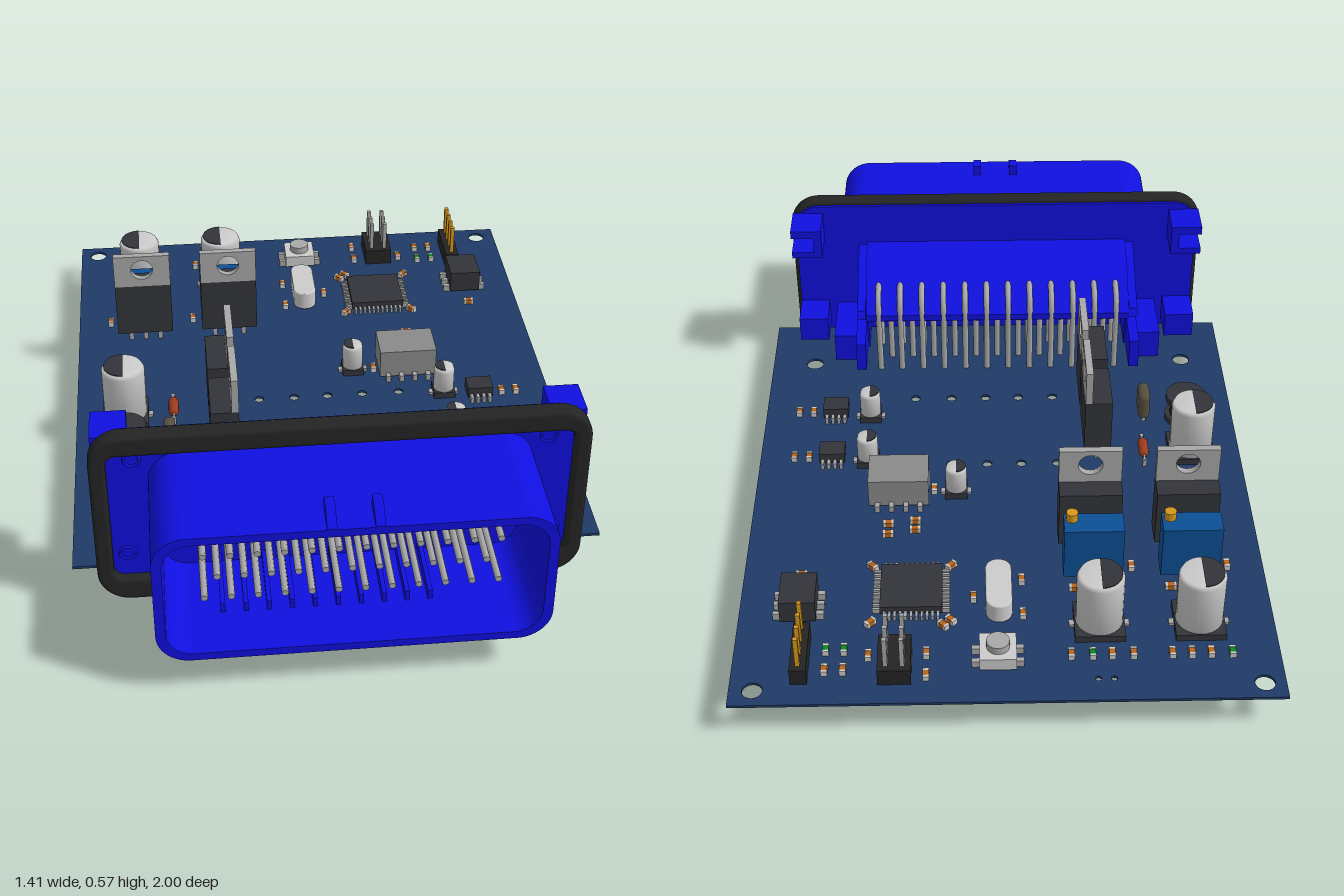
import * as THREE from 'three';
import { RoundedBoxGeometry } from 'three/addons/geometries/RoundedBoxGeometry.js';

const BLUE = 0x1010e0, BLACK = 0x242424, DARK = 0x33343a, GREY = 0xa8a8a8, LIGHT = 0xc4c4c4,
  GOLD = 0xd8981c, ORANGE = 0xb8651c, TRIM = 0x0c4f94, BOARD = 0x1f3a66, GREEN = 0x0c8a20;
const TOP = 0.108; // upper face of the board
const mats = {};
const mat = (c) => (mats[c] ??= new THREE.MeshStandardMaterial({ color: c }));

export function createModel() {
  const root = new THREE.Group();
  const add = (name, geo, color, x = 0, y = 0, z = 0, parent = root) => {
    const m = new THREE.Mesh(geo, mat(color));
    m.name = name;
    m.position.set(x, y, z);
    parent.add(m);
    return m;
  };
  const box = (name, c, w, h, d, x, y, z, p) => add(name, new THREE.BoxGeometry(w, h, d), c, x, y, z, p);
  // box given by its lower and upper heights
  const block = (name, c, w, d, x, z, y0, y1, p) => box(name, c, w, y1 - y0, d, x, (y0 + y1) / 2, z, p);
  const cyl = (name, c, r, x, z, y0, y1, p, seg = 28) =>
    add(name, new THREE.CylinderGeometry(r, r, y1 - y0, seg), c, x, (y0 + y1) / 2, z, p);
  const circle = (x, y, r) => new THREE.Path().absarc(x, y, r, 0, Math.PI * 2, true);
  const rounded = (x, y0, y1, r, S = THREE.Shape) => {
    const s = new S();
    s.absarc(x - r, y1 - r, r, 0, Math.PI / 2);
    s.absarc(-x + r, y1 - r, r, Math.PI / 2, Math.PI);
    s.absarc(-x + r, y0 + r, r, Math.PI, Math.PI * 1.5);
    s.absarc(x - r, y0 + r, r, Math.PI * 1.5, Math.PI * 2);
    s.closePath();
    return s;
  };
  const extrude = (s, depth, bevel = 0) => new THREE.ExtrudeGeometry(s, {
    depth, curveSegments: 10, bevelEnabled: bevel > 0, bevelSize: bevel, bevelThickness: bevel, bevelSegments: 4,
  });

  // Circuit board with drilled holes
  const plate = new THREE.Shape([[-0.705, -1], [0.705, -1], [0.705, 0.625], [-0.705, 0.625]]
    .map(([x, y]) => new THREE.Vector2(x, y)));
  for (const [x, z] of [[-0.65, -0.95], [0.645, -0.95], [-0.58, 0.425], [0.575, 0.425]]) plate.holes.push(circle(x, z, 0.026));
  for (const x of [-0.165, -0.06, 0.04, 0.145, 0.255])
    for (const z of [-0.075, 0.24]) plate.holes.push(circle(x, z, 0.014));
  for (const x of [-0.27, -0.23]) plate.holes.push(circle(x, -0.927, 0.008));
  add('board', extrude(plate, 0.008).rotateX(Math.PI / 2), BOARD, 0, TOP, 0);

  // Connector flange, seal and shell
  const con = new THREE.Group();
  con.name = 'connector';
  root.add(con);
  add('flange', extrude(rounded(0.625, 0.052, 0.558, 0.075), 0.033), BLUE, 0, 0, 0.632, con);
  const seal = rounded(0.625, 0.052, 0.558, 0.075);
  seal.holes.push(rounded(0.605, 0.097, 0.52, 0.04, THREE.Path));
  add('seal', extrude(seal, 0.026, 0.012), BLACK, 0, 0, 0.653, con);
  const shell = rounded(0.49, 0.11, 0.5, 0.085);
  shell.holes.push(rounded(0.465, 0.132, 0.478, 0.068, THREE.Path));
  add('shell', extrude(shell, 0.34), BLUE, 0, 0, 0.66, con);

  // Keys on top of the shell and ribs inside it
  const key = new THREE.Shape([[-1, 0.49], [-1, 0.503], [-0.955, 0.532], [-0.915, 0.532], [-0.915, 0.49]]
    .map(([x, y]) => new THREE.Vector2(x, y)));
  for (const x of [-0.06, 0.055]) add('key', extrude(key, 0.024).rotateY(Math.PI / 2), BLUE, x - 0.012, 0, 0, con);
  for (let i = 0; i < 10; i++) {
    const x = -0.32 + i * 0.0585, long = i === 4 || i === 9 ? 0.03 : 0;
    box('upperRib', BLUE, 0.012, 0.03 + long, 0.2, x, 0.465 - long / 2, 0.76, con);
    box('lowerRib', BLUE, 0.012, 0.03, 0.2, x, 0.145, 0.76, con);
  }

  // Hood behind the flange with side cheeks, feet and latches
  const side = (pts, w) => extrude(new THREE.Shape(pts.map(([z, y]) => new THREE.Vector2(-z, y))), w)
    .rotateY(Math.PI / 2).translate(-w / 2, 0, 0);
  add('hood', side([[0.64, 0.43], [0.55, 0.41], [0.48, 0.38], [0.395, 0.31], [0.395, 0.29], [0.5, 0.215], [0.64, 0.215]], 0.81), BLUE, 0, 0, 0, con);
  for (const s of [-1, 1]) {
    add('cheek', side([[0.64, 0.42], [0.58, 0.405], [0.46, 0.35], [0.4, 0.325], [0.39, 0.3], [0.515, 0.215], [0.515, 0.11], [0.64, 0.11]], 0.025), BLUE, s * 0.418, 0, 0, con);
    block('foot', BLUE, 0.03, 0.14, s * 0.425, 0.445, 0.12, 0.215, con);
    block('lowerBlock', BLUE, 0.08, 0.19, s * 0.47, 0.54, TOP, 0.2, con);
    block('latchTop', BLUE, 0.09, 0.11, s * 0.585, 0.58, 0.51, 0.535, con);
    block('latchBottom', BLUE, 0.09, 0.11, s * 0.585, 0.58, 0.44, 0.46, con);
    block('latchWall', BLUE, 0.025, 0.11, s * 0.55, 0.58, 0.44, 0.535, con);
    block('lowerLatch', BLUE, 0.09, 0.11, s * 0.58, 0.58, 0.13, 0.21, con);
    cyl('peg', BLUE, 0.016, s * 0.47, 0.5, 0.06, 0.12, con, 14);
    for (const [x, y] of [[0.528, 0.483], [0.555, 0.18]])
      add('flangeBoss', new THREE.TorusGeometry(0.02, 0.004, 6, 24), BLUE, s * x, y, 0.665, con);
  }

  // Three rows of bent contact pins
  for (const [n, y, z] of [[12, 0.37, 0.4], [11, 0.305, 0.465], [12, 0.238, 0.535]]) {
    const v = (a, b) => new THREE.Vector3(0, a, b), path = new THREE.CurvePath();
    path.add(new THREE.LineCurve3(v(y, 0.92), v(y, z + 0.07)));
    path.add(new THREE.QuadraticBezierCurve3(v(y, z + 0.07), v(y, z), v(y - 0.07, z)));
    path.add(new THREE.LineCurve3(v(y - 0.07, z), v(0.055, z)));
    const geo = new THREE.TubeGeometry(path, 36, 0.009, 8);
    for (let i = 0; i < n; i++) {
      const x = (i - (n - 1) / 2) * 0.0665;
      add('contactPin', geo, GREY, x, 0, 0, con);
      for (const [b, end, turn] of [[y, 0.92, 0], [0.055, z, Math.PI / 2]])
        add('pinTip', new THREE.CircleGeometry(0.009, 8), GREY, x, b, end, con).rotation.x = turn;
    }
  }

  const leads = (xs, z, y0, y1 = TOP) => xs.forEach((x) => block('lead', GREY, 0.012, 0.01, x, z, y0, y1));

  // Large capacitors with a dark half mark on top
  const capacitor = (x, z, r, h) => {
    block('capacitorBase', DARK, r * 2, r * 2, x, z, TOP, TOP + 0.02);
    const p = [[0, 0], [r * 0.95, 0], [r * 0.95, h - 0.012], [r * 0.85, h], [0, h]].map(([a, b]) => new THREE.Vector2(a, b));
    add('capacitor', new THREE.LatheGeometry(p, 32), LIGHT, x, TOP + 0.012, z);
    add('capacitorMark', new THREE.CylinderGeometry(r * 0.84, r * 0.84, 0.003, 20, 1, false, Math.PI, Math.PI), DARK, x, TOP + 0.013 + h, z);
    for (const s of [-1, 1]) block('capacitorPad', GREY, 0.02, 0.02, x + s * r * 1.05, z, TOP, TOP + 0.008);
  };
  for (const [x, z] of [[-0.505, -0.735], [-0.243, -0.735], [-0.56, -0.027]]) capacitor(x, z, 0.066, 0.17);
  for (const [x, z] of [[0.13, -0.2], [0.388, -0.058], [0.388, 0.153]]) capacitor(x, z, 0.032, 0.085);
  cyl('choke', DARK, 0.06, -0.56, 0.132, TOP, 0.125);
  cyl('chokeCore', BLACK, 0.045, -0.56, 0.132, 0.12, 0.18);
  cyl('chokeTop', DARK, 0.06, -0.56, 0.132, 0.175, 0.195);
  leads([-0.605, -0.52], 0.14, 0.02);

  // Trimmers and upright power transistors
  const tab = new THREE.Shape([[-0.085, 0.335], [0.085, 0.335], [0.085, 0.44], [-0.085, 0.44]].map(([x, y]) => new THREE.Vector2(x, y)));
  tab.holes.push(circle(0, 0.393, 0.033));
  const transistor = (x, z, turn, drop) => {
    const g = new THREE.Group();
    g.name = 'transistor';
    block('transistorBody', DARK, 0.17, 0.078, 0, 0, 0.165, 0.335, g);
    add('transistorTab', extrude(tab, 0.02), GREY, 0, 0, 0.019, g);
    for (const i of [-1, 0, 1]) block('transistorLeg', GREY, 0.014, 0.008, i * 0.045, 0, 0.05, 0.17, g);
    g.position.set(x, drop, z);
    g.rotation.y = turn;
    root.add(g);
  };
  for (const x of [-0.5, -0.238]) {
    block('trimmer', TRIM, 0.16, 0.073, x, -0.533, 0.122, 0.282);
    cyl('trimmerScrew', GOLD, 0.016, x + 0.058, -0.518, 0.28, 0.307, root, 16);
    leads([x - 0.042, x, x + 0.042], -0.53, 0, 0.13);
    transistor(x + 0.005, -0.435, 0, -0.01);
  }
  for (const z of [-0.005, 0.208]) transistor(-0.28, z, Math.PI / 2, 0);

  // Chips with bent leads on two sides; along = direction of the lead rows
  const chip = (x, z, w, d, h, n, along, color = DARK) => {
    block('chipBody', color, w, d, x, z, TOP + 0.008, TOP + h);
    const len = along === 'z' ? d : w;
    for (const s of [-1, 1]) for (let i = 0; i < n; i++) {
      const t = ((i + 0.5) / n - 0.5) * len * 0.95, out = s * ((along === 'z' ? w : d) / 2 + 0.008), k = Math.min(0.014, len / n / 2);
      const [px, pz, a, b] = along === 'z' ? [x + out, z + t, 0.024, k] : [x + t, z + out, k, 0.024];
      block('chipLead', GREY, a, b, px, pz, TOP, TOP + Math.min(0.02, h * 0.5));
    }
  };
  chip(0.25, -0.61, 0.165, 0.165, 0.03, 11, 'z');
  chip(0.25, -0.61, 0.165, 0.165, 0.03, 11, 'x');
  chip(0.546, -0.66, 0.095, 0.115, 0.075, 3, 'z');
  for (const z of [-0.042, 0.17]) chip(0.493, z, 0.075, 0.06, 0.04, 4, 'x');
  chip(0.293, -0.204, 0.17, 0.12, 0.095, 4, 'x', 0x8a8a8a);

  // Crystal, push button, diode and disc capacitor
  const oval = rounded(0.031, -0.088, 0.088, 0.03);
  add('crystal', extrude(oval, 0.05, 0.004).rotateX(-Math.PI / 2), LIGHT, 0.018, TOP + 0.008, -0.638);
  for (const z of [-0.69, -0.585]) leads([0.018], z, 0.05);
  chip(0.024, -0.853, 0.095, 0.095, 0.045, 2, 'z', LIGHT);
  cyl('buttonCap', GREY, 0.03, 0.024, -0.853, 0.15, 0.175);
  const diode = add('diode', new THREE.CapsuleGeometry(0.015, 0.045, 4, 14), 0x9c3c1c, -0.42, 0.128, -0.035);
  diode.rotation.x = Math.PI / 2;
  box('diodeWire', GREY, 0.006, 0.006, 0.12, -0.42, 0.128, -0.035);
  for (const z of [-0.093, 0.023]) leads([-0.42], z, 0.05, 0.13);
  add('discCapacitor', new RoundedBoxGeometry(0.035, 0.09, 0.08, 3, 0.016), 0x55503f, -0.435, 0.16, 0.148);
  for (const z of [0.12, 0.175]) leads([-0.435], z, 0.05, 0.13);

  // Pin headers
  const header = (x, z, cols, rows, color) => {
    block('headerBase', BLACK, cols * 0.0425, rows * 0.0425, x, z, TOP, 0.158);
    for (let i = 0; i < cols; i++) for (let j = 0; j < rows; j++)
      block('headerPin', color, 0.012, 0.012, x + (i - (cols - 1) / 2) * 0.0425, z + (j - (rows - 1) / 2) * 0.0425, 0.065, 0.25);
  };
  header(0.288, -0.874, 2, 3, GREY);
  header(0.53, -0.847, 1, 4, GOLD);

  // Small surface parts: x, z, turn
  const small = (x, z, turn, color) => {
    const g = new THREE.Group();
    g.name = 'smallPart';
    block('smallBody', color, 0.016, 0.022, 0, 0, TOP, TOP + 0.015, g);
    for (const s of [-1, 1]) block('smallEnd', LIGHT, 0.017, 0.007, 0, s * 0.012, TOP, TOP + 0.016, g);
    g.position.set(x, 0, z);
    g.rotation.y = turn;
    root.add(g);
  };
  const Q = Math.PI / 2, E = Math.PI / 4;
  for (const x of [-0.525, -0.475, -0.425, -0.325, -0.27, -0.165]) small(x, -0.848, 0, ORANGE);
  for (const [x, z] of [[-0.58, -0.848], [-0.22, -0.848], [0.42, -0.82], [0.467, -0.82]]) small(x, z, 0, GREEN);
  for (const [x, z, t] of [
    [-0.605, -0.525, 0], [-0.345, -0.525, 0], [-0.55, -0.605, Q], [-0.445, -0.605, Q], [-0.293, -0.605, Q], [-0.187, -0.605, Q],
    [-0.045, -0.7, 0], [-0.045, -0.572, 0], [0.085, -0.635, 0], [0.145, -0.72, E], [0.165, -0.738, E], [0.357, -0.725, -E],
    [0.145, -0.513, -E], [0.357, -0.513, E], [0.208, -0.912, 0], [0.208, -0.837, 0], [0.357, -0.842, 0], [0.42, -0.89, 0],
    [0.467, -0.89, 0], [0.548, -0.54, Q], [0.245, -0.365, Q], [0.32, -0.382, Q], [0.32, -0.34, Q], [0.245, -0.328, Q],
    [0.193, -0.195, 0], [0.605, -0.042, 0], [0.562, -0.042, 0], [0.605, 0.17, 0], [0.562, 0.17, 0]]) small(x, z, t, ORANGE);

  return root;
}
